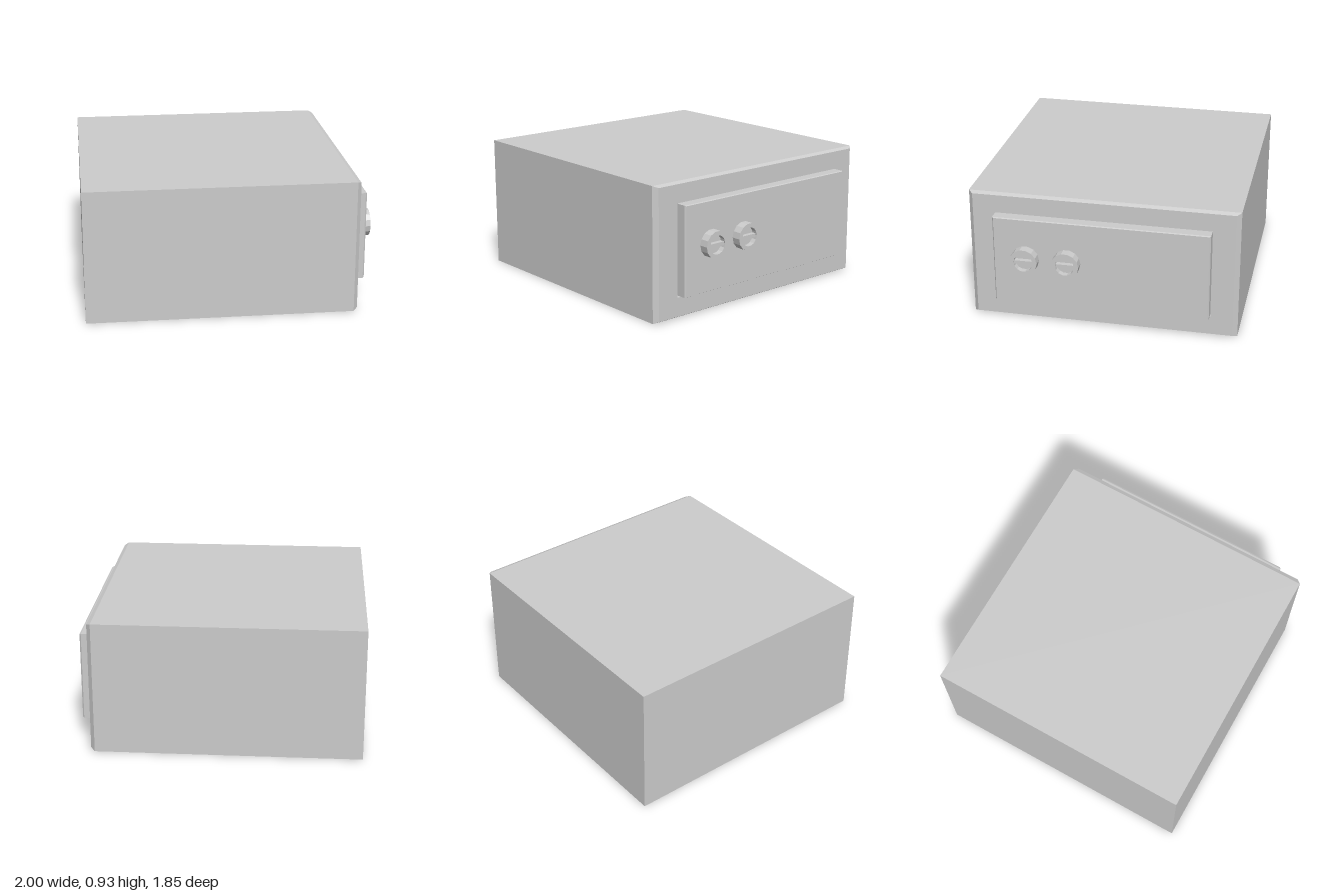
import * as THREE from 'three';

const material = new THREE.MeshStandardMaterial({ color: 0xcccccc, flatShading: true });

// Skin through rectangular rings [x, yLow, yHigh, zHalf] along +x, capped at both ends.
function rectLoft(rings) {
  const pos = [], idx = [];
  for (const [x, y0, y1, z] of rings) {
    pos.push(x, y0, z, x, y0, -z, x, y1, -z, x, y1, z);
  }
  for (let i = 0; i < rings.length - 1; i++) {
    for (let j = 0; j < 4; j++) {
      const a = i * 4 + j, b = i * 4 + (j + 1) % 4;
      idx.push(a, b, b + 4, a, b + 4, a + 4);
    }
  }
  const e = (rings.length - 1) * 4;
  idx.push(0, 2, 1, 0, 3, 2, e, e + 1, e + 2, e, e + 2, e + 3);
  const indexed = new THREE.BufferGeometry();
  indexed.setAttribute('position', new THREE.Float32BufferAttribute(pos, 3));
  indexed.setIndex(idx);
  const geo = indexed.toNonIndexed();
  geo.computeVertexNormals();
  return geo;
}

function add(parent, name, geo) {
  const mesh = new THREE.Mesh(geo, material);
  mesh.name = name;
  parent.add(mesh);
  return mesh;
}

export function createModel() {
  const model = new THREE.Group();
  model.name = 'safe';

  // Cabinet with a chamfered face and a shallow door recess
  add(model, 'cabinet', rectLoft([
    [-1, 0.003, 0.93, 0.927],
    [0.828, 0.003, 0.93, 0.927],
    [0.857, 0.018, 0.917, 0.897],
    [0.857, 0.15, 0.79, 0.742],
    [0.8, 0.15, 0.79, 0.742],
  ]));

  // Raised door, leaving a narrow gap along the bottom of the recess
  add(model, 'door', rectLoft([
    [0.79, 0.166, 0.789, 0.741],
    [0.926, 0.166, 0.789, 0.741],
    [0.936, 0.171, 0.785, 0.733],
  ]));

  // Two hollow dials, each with a grip bar across the well
  const profile = [[0.095, 0], [0.095, 0.064], [0.065, 0.064], [0.065, 0.025], [0, 0.025]]
    .map(([r, h]) => new THREE.Vector2(r, h));
  for (const z of [0.23, 0.517]) {
    const dial = new THREE.Group();
    dial.name = 'dial';
    dial.position.set(0.936, 0.5, z);
    const ring = add(dial, 'dialRing', new THREE.LatheGeometry(profile, 14));
    ring.rotation.z = -Math.PI / 2;
    const bar = add(dial, 'gripBar', new THREE.BoxGeometry(0.035, 0.024, 0.124));
    bar.position.x = 0.04;
    model.add(dial);
  }
  return model;
}
